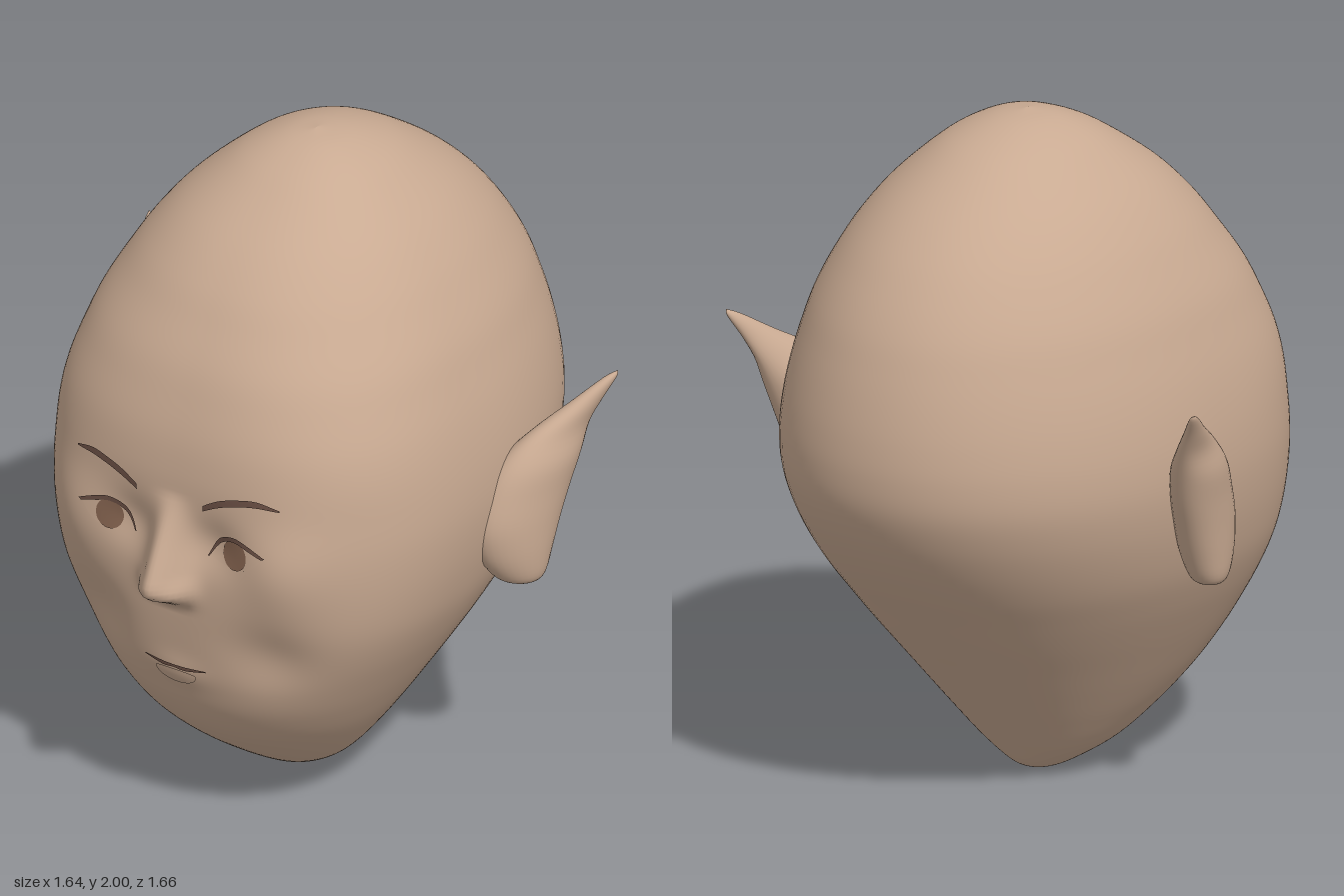
import * as THREE from 'three';

const skin = new THREE.MeshStandardMaterial({ name: 'skin', color: 0xc9aa92 });
const hair = new THREE.MeshStandardMaterial({ name: 'brow brown', color: 0x6a4f44 });
const irisBrown = new THREE.MeshStandardMaterial({ name: 'iris brown', color: 0x84634f });

// Rows of equal length become a smooth grid; closed rows wrap around.
function grid(rows, closed) {
  const n = rows[0].length, index = [];
  for (let i = 0; i < rows.length - 1; i++) {
    for (let j = 0; j < (closed ? n : n - 1); j++) {
      const k = (j + 1) % n;
      const a = i * n + j, b = i * n + k, c = a + n, d = b + n;
      index.push(a, b, d, a, d, c);
    }
  }
  const geo = new THREE.BufferGeometry();
  geo.setAttribute('position', new THREE.Float32BufferAttribute(rows.flat(2), 3));
  geo.setIndex(index);
  geo.computeVertexNormals();
  return geo;
}

function mesh(name, geo, mat) {
  const m = new THREE.Mesh(geo, mat);
  m.name = name;
  return m;
}

const spline = (pts) => new THREE.CatmullRomCurve3(pts.map((p) => new THREE.Vector3(...p)), false, 'catmullrom', 0.5);

// Head profile: height, front z, back z, half width
const PROFILE = [
  [0, 0.045, 0.035, 0], [0.006, 0.1, 0, 0.045], [0.03, 0.18, -0.045, 0.1],
  [0.1, 0.3, -0.11, 0.2], [0.2, 0.44, -0.2, 0.29], [0.3, 0.55, -0.29, 0.365],
  [0.4, 0.62, -0.38, 0.43], [0.5, 0.66, -0.47, 0.49], [0.6, 0.685, -0.555, 0.545],
  [0.7, 0.7, -0.64, 0.59], [0.8, 0.71, -0.715, 0.62], [0.9, 0.715, -0.775, 0.64],
  [1.0, 0.715, -0.815, 0.65], [1.1, 0.71, -0.827, 0.648], [1.2, 0.705, -0.82, 0.636],
  [1.3, 0.69, -0.8, 0.615], [1.4, 0.66, -0.77, 0.585], [1.5, 0.62, -0.73, 0.55],
  [1.6, 0.56, -0.67, 0.5], [1.7, 0.49, -0.59, 0.44], [1.8, 0.39, -0.48, 0.36],
  [1.9, 0.25, -0.335, 0.25], [1.95, 0.165, -0.235, 0.175], [1.985, 0.075, -0.125, 0.09],
  [2.0, -0.01, -0.02, 0],
];

// Facial relief added to z: nose, eye sockets, cheekbones, hollows, lips
const bump = (x, y, cx, cy, sx, sy) => Math.exp(-(((Math.abs(x) - cx) / sx) ** 2) - ((y - cy) / sy) ** 2);
function relief(x, y) {
  const rise = THREE.MathUtils.clamp((1.13 - y) / 0.26, 0, 1);
  const fall = THREE.MathUtils.smoothstep(y, 0.76, 0.85);
  const w = 0.045 + 0.018 * rise;
  return 0.118 * rise * fall * Math.exp(-((x / w) ** 2))
    + 0.025 * bump(x, y, 0.06, 0.835, 0.03, 0.035)
    - 0.028 * bump(x, y, 0.14, 1.0, 0.09, 0.08)
    + 0.03 * bump(x, y, 0.37, 0.95, 0.12, 0.15)
    - 0.03 * bump(x, y, 0.3, 0.64, 0.12, 0.11)
    + 0.012 * bump(x, y, 0, 0.54, 0.09, 0.05);
}

function headGeometry() {
  const front = spline(PROFILE.map(([y, f, , h]) => [h, y, f]));
  const back = spline(PROFILE.map(([y, , b, h]) => [h, y, b]));
  const rows = [], ROWS = 150, SEGS = 150;
  for (let i = 0; i <= ROWS; i++) {
    const f = front.getPoint(i / ROWS), b = back.getPoint(i / ROWS);
    const mid = THREE.MathUtils.lerp(b.z, f.z, 0.56), row = [];
    const nFront = 2.15 + 0.55 * THREE.MathUtils.smoothstep(f.y, 0.2, 0.8)
      - 0.5 * THREE.MathUtils.smoothstep(f.y, 1.2, 1.8);
    for (let j = 0; j < SEGS; j++) {
      const u = (j / SEGS) * Math.PI * 2, t = u - 0.6 * Math.sin(u); // denser at the face
      const s = Math.sin(t), c = Math.cos(t), n = c > 0 ? nFront : 2.08;
      const r = (Math.abs(s) ** n + Math.abs(c) ** n) ** (-1 / n);
      const x = Math.max(f.x, 0) * r * s;
      let z = mid + r * c * (c > 0 ? f.z - mid : mid - b.z);
      z += relief(x, f.y) * THREE.MathUtils.smoothstep(c, 0, 0.5);
      row.push([x, f.y, z]);
    }
    rows.push(row);
  }
  return grid(rows, true);
}

// Pointed ear: centre x, y, z and half sizes in x and z
const EAR = [
  [0.68, 0.715, -0.07, 0, 0], [0.675, 0.722, -0.07, 0.045, 0.045], [0.67, 0.75, -0.065, 0.068, 0.075],
  [0.66, 0.82, -0.06, 0.085, 0.11], [0.66, 0.91, -0.07, 0.09, 0.135], [0.67, 1.0, -0.1, 0.088, 0.14],
  [0.69, 1.09, -0.14, 0.08, 0.13], [0.72, 1.17, -0.195, 0.05, 0.1], [0.765, 1.24, -0.265, 0.03, 0.055],
  [0.805, 1.3, -0.325, 0.014, 0.022], [0.82, 1.32, -0.345, 0, 0],
];
function earGeometry(side) {
  const centre = spline(EAR.map((e) => e.slice(0, 3)));
  const size = spline(EAR.map((e) => [e[3], e[4], 0]));
  const rows = [];
  for (let i = 0; i <= 40; i++) {
    const p = centre.getPoint(i / 40), h = size.getPoint(i / 40), row = [];
    for (let j = 0; j < 32; j++) {
      const t = (j / 32) * Math.PI * 2, dz = Math.max(h.y, 0) * Math.cos(t);
      row.push([side * (p.x - 0.25 * dz) + Math.max(h.x, 0) * Math.sin(t), p.y, p.z + dz]);
    }
    rows.push(row);
  }
  return grid(rows, true);
}

// Thin patch between a lower and an upper curve, laid on the face
function facePatch(head, lower, upper, lift, side = 1) {
  const ray = new THREE.Raycaster(), toFace = new THREE.Vector3(0, 0, -1);
  const curve = (pts) => {
    const v = pts.map(([x, y]) => new THREE.Vector2(x * side, y));
    return new THREE.SplineCurve(side < 0 ? v.reverse() : v);
  };
  const lo = curve(lower), up = curve(upper), rows = [];
  for (let i = 0; i <= 4; i++) {
    const row = [];
    for (let j = 0; j <= 20; j++) {
      const p = lo.getPoint(j / 20).lerp(up.getPoint(j / 20), i / 4);
      ray.set(new THREE.Vector3(p.x, p.y, 2), toFace);
      row.push([p.x, p.y, ray.intersectObject(head)[0].point.z + lift]);
    }
    rows.push(row);
  }
  return grid(rows, false);
}

// Half circle from left to right, sign +1 above and -1 below
const arc = (cx, cy, rx, ry, sign) => Array.from({ length: 9 }, (_, i) => {
  const a = Math.PI * (1 - i / 8);
  return [cx + rx * Math.cos(a), cy + sign * ry * Math.sin(a)];
});

export function createModel() {
  const group = new THREE.Group();
  group.name = 'head';
  const head = mesh('skull and face', headGeometry(), skin);
  head.updateMatrixWorld();
  group.add(head);
  const patch = (name, mat, ...args) => group.add(mesh(name, facePatch(head, ...args), mat));

  const lidTop = [[0.13, 0.965], [0.165, 1.015], [0.215, 1.035], [0.265, 1.025], [0.315, 1.01]];
  const lidBottom = [[0.13, 0.965], [0.17, 0.952], [0.22, 0.947], [0.275, 0.965], [0.315, 1.01]];
  const lashTop = [[0.125, 0.965], [0.16, 1.028], [0.215, 1.05], [0.27, 1.038], [0.325, 1.015]];
  const browLow = [[0.115, 1.11], [0.165, 1.135], [0.22, 1.153], [0.285, 1.163], [0.352, 1.16]];
  const browTop = [[0.115, 1.128], [0.165, 1.157], [0.22, 1.174], [0.285, 1.182], [0.352, 1.165]];
  for (const [label, side] of [['left', 1], ['right', -1]]) {
    group.add(mesh(label + ' ear', earGeometry(side), skin));
    patch(label + ' eye', skin, lidBottom, lidTop, 0.003, side);
    patch(label + ' iris', irisBrown, arc(0.218, 0.993, 0.044, 0.046, -1), arc(0.218, 0.993, 0.044, 0.046, 1), 0.006, side);
    patch(label + ' lashes', hair, lidTop, lashTop, 0.009, side);
    patch(label + ' eyebrow', hair, browLow, browTop, 0.009, side);
  }

  // Mouth
  patch('lower lip', skin, arc(0, 0.54, 0.07, 0.038, -1), arc(0, 0.54, 0.07, 0.012, 1), 0.006);
  patch('mouth line', hair, [[-0.105, 0.566], [-0.04, 0.556], [0, 0.559], [0.04, 0.556], [0.105, 0.566]],
    [[-0.105, 0.57], [-0.04, 0.568], [0, 0.568], [0.04, 0.568], [0.105, 0.57]], 0.008);
  return group;
}
